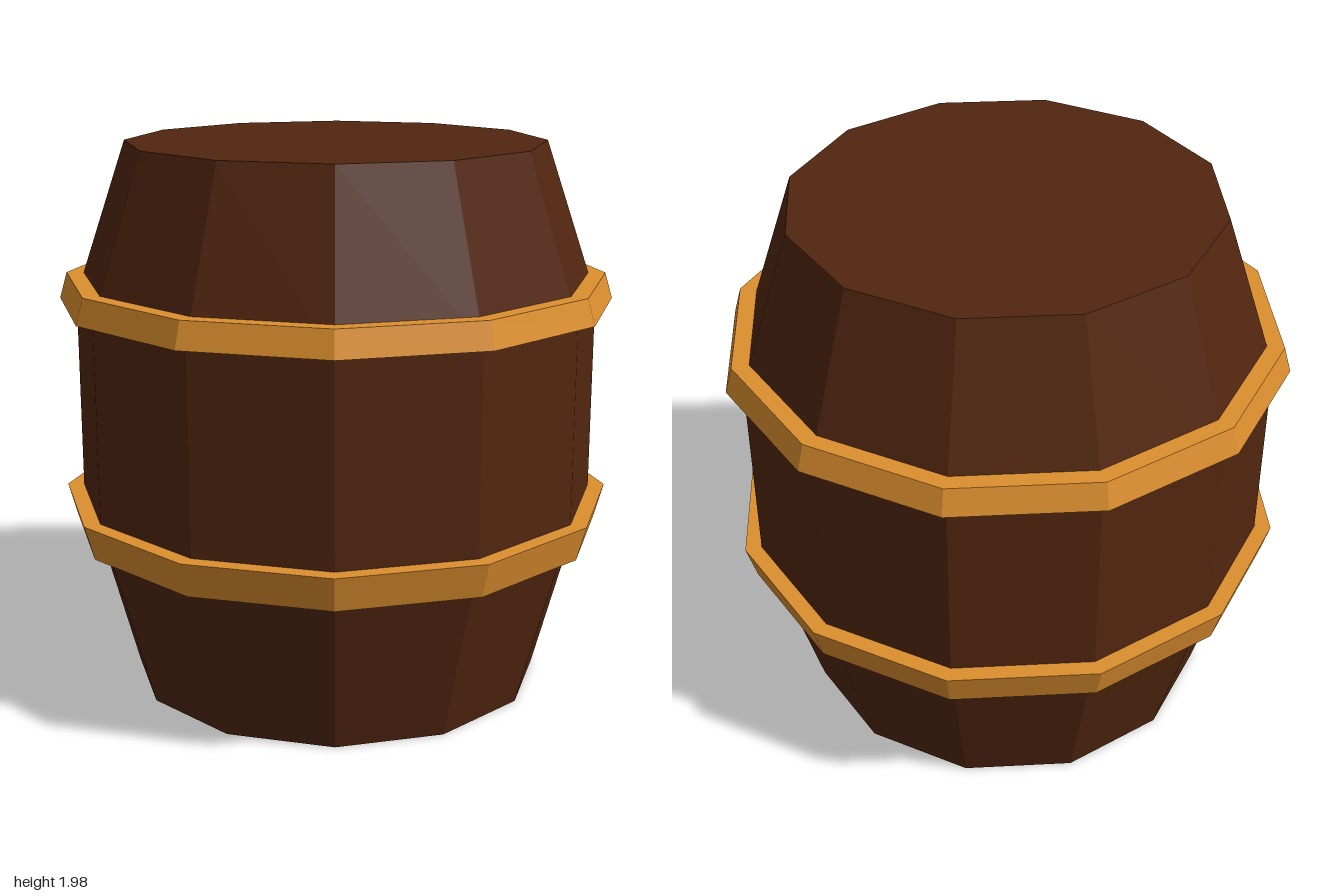
import * as THREE from 'three';

const SIDES = 12;

// Turns a [radius, height] profile, listed upwards on its outer side, into a faceted ring
function turned(name, profile, material) {
  const points = profile.map(([r, y]) => new THREE.Vector2(r, y));
  const mesh = new THREE.Mesh(new THREE.LatheGeometry(points, SIDES), material);
  mesh.name = name;
  return mesh;
}

export function createModel() {
  const wood = new THREE.MeshStandardMaterial({ color: 0x52260f, flatShading: true });
  wood.name = 'dark wood';
  const brass = new THREE.MeshStandardMaterial({ color: 0xdd8f2f, flatShading: true });
  brass.name = 'brass';

  const barrel = new THREE.Group();
  barrel.name = 'barrel';

  // Body with closed ends
  barrel.add(turned('body', [
    [0, 0], [0.75, 0], [0.94, 0.7], [0.94, 1.42], [0.75, 1.98], [0, 1.98],
  ], wood));

  // Hoops, each widest towards the middle of the barrel
  barrel.add(turned('lowerHoop', [
    [0.9, 0.58], [0.965, 0.58], [1, 0.705], [0.93, 0.705], [0.9, 0.58],
  ], brass));
  barrel.add(turned('upperHoop', [
    [0.93, 1.412], [1, 1.412], [0.973, 1.505], [0.9, 1.505], [0.93, 1.412],
  ], brass));

  return barrel;
}
